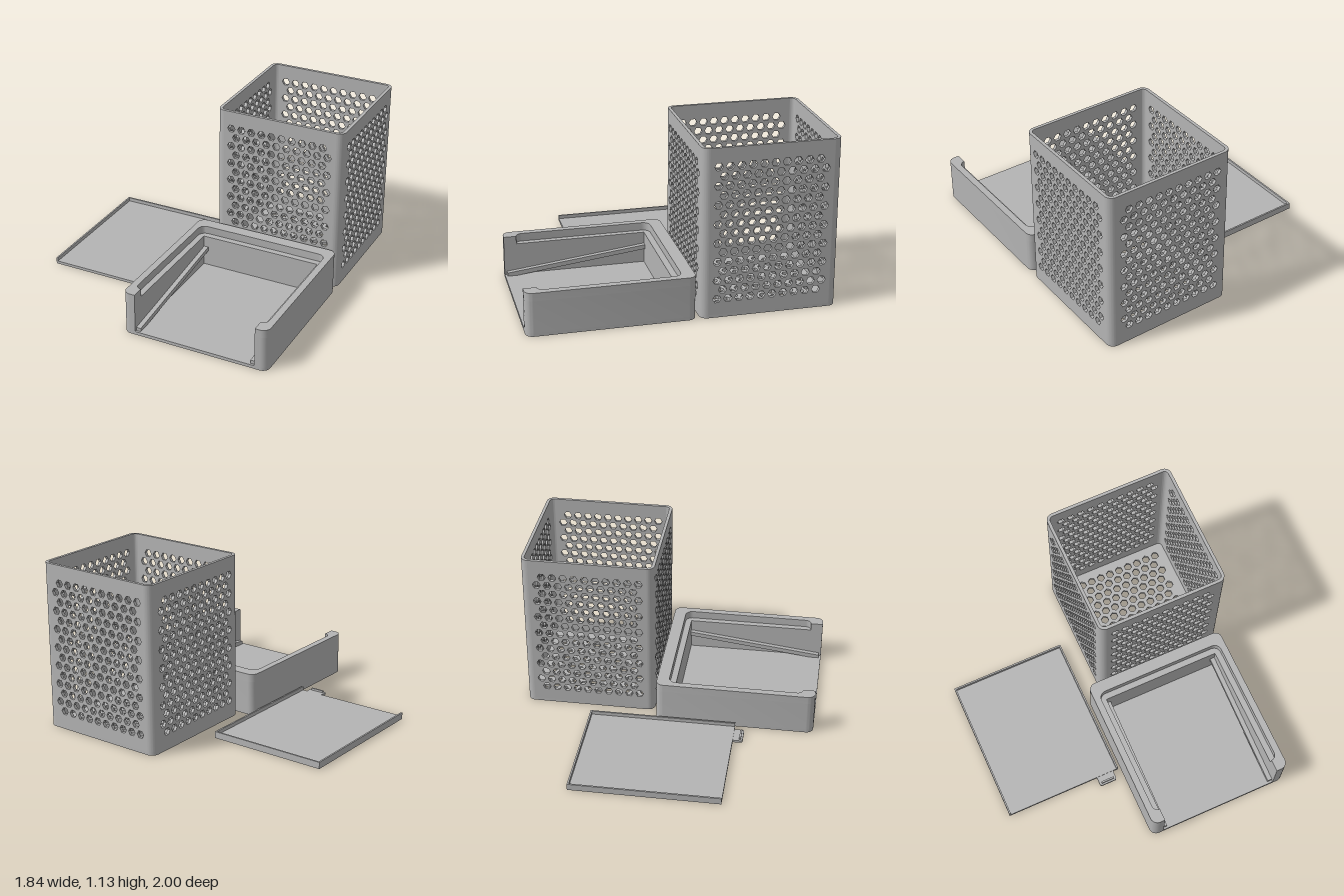
import * as THREE from 'three';
import { toCreasedNormals } from 'three/addons/utils/BufferGeometryUtils.js';

const grey = new THREE.MeshStandardMaterial({ color: 0xb4b4b4 });
grey.name = 'grey plastic';

function mesh(name, geometry, parent) {
  const m = new THREE.Mesh(toCreasedNormals(geometry, 0.5), grey);
  m.name = name;
  parent.add(m);
  return m;
}

// Plan outline from right-angled corners [x, z, radius]
function outline(corners) {
  const shape = new THREE.Shape();
  const n = corners.length;
  const pts = corners.map(([x, z]) => new THREE.Vector2(x, -z));
  corners.forEach(([, , r = 0], i) => {
    const p = pts[i];
    const toPrev = pts[(i + n - 1) % n].clone().sub(p).normalize();
    const toNext = pts[(i + 1) % n].clone().sub(p).normalize();
    const a = p.clone().addScaledVector(toPrev, r);
    const b = p.clone().addScaledVector(toNext, r);
    if (i === 0) shape.moveTo(a.x, a.y);
    else shape.lineTo(a.x, a.y);
    if (r > 0) {
      const c = a.clone().addScaledVector(toPrev, -r * 0.5523);
      const d = b.clone().addScaledVector(toNext, -r * 0.5523);
      shape.bezierCurveTo(c.x, c.y, d.x, d.y, b.x, b.y);
    }
  });
  shape.closePath();
  return shape;
}

const rect = (x0, x1, z0, z1, r = 0) =>
  outline([[x0, z1, r], [x1, z1, r], [x1, z0, r], [x0, z0, r]]);

// Horizontal slab from y0 to y1
function slab(shape, y0, y1) {
  const g = new THREE.ExtrudeGeometry(shape, { depth: y1 - y0, bevelEnabled: false, curveSegments: 8 });
  return g.rotateX(-Math.PI / 2).translate(0, y0, 0);
}

// Staggered rows of hexagonal holes, centred on (0, cy)
function addHexHoles(shape, rows, cy, turn) {
  const pitch = 0.0724, rowPitch = 0.0628, radius = 0.0275;
  for (let j = 0; j < rows; j++) {
    for (let i = 0; i < 10; i++) {
      const x = (i - 4.5) * pitch + (j % 2 ? 1 : -1) * pitch / 4;
      const y = cy + (j - (rows - 1) / 2) * rowPitch;
      const hex = [];
      for (let k = 0; k < 6; k++) {
        const a = turn - k * Math.PI / 3;
        hex.push(new THREE.Vector2(x + radius * Math.cos(a), y + radius * Math.sin(a)));
      }
      shape.holes.push(new THREE.Path(hex));
    }
  }
}

function createBasket() {
  const basket = new THREE.Group();
  basket.name = 'perforated basket';
  const half = 0.448, r = 0.05, t = 0.021, height = 1.128, flat = half - r;

  const floor = rect(-half, half, -half, half, r);
  addHexHoles(floor, 12, 0, Math.PI / 6);
  mesh('basket floor', slab(floor, 0, t), basket);

  // Flat walls
  const panel = new THREE.Shape([
    new THREE.Vector2(-flat, t), new THREE.Vector2(flat, t),
    new THREE.Vector2(flat, height), new THREE.Vector2(-flat, height),
  ]);
  addHexHoles(panel, 15, 0.566, 0);
  const wall = new THREE.ExtrudeGeometry(panel, { depth: t, bevelEnabled: false });
  for (const z of [-half, half - t]) {
    mesh(z < 0 ? 'back wall' : 'front wall', wall.clone().translate(0, 0, z), basket);
    mesh(z < 0 ? 'right wall' : 'left wall',
      wall.clone().translate(0, 0, z).rotateY(Math.PI / 2), basket);
  }

  // Rounded corner posts
  const arc = new THREE.Shape();
  arc.absarc(0, 0, r, 0, Math.PI / 2, false);
  arc.absarc(0, 0, r - t, Math.PI / 2, 0, true);
  arc.closePath();
  for (let i = 0; i < 4; i++) {
    const corner = slab(arc, t, height).translate(flat, 0, -flat).rotateY(i * Math.PI / 2);
    mesh('basket corner', corner, basket);
  }
  basket.position.set(0.47, 0, -0.552);
  return basket;
}

function createBase() {
  const base = new THREE.Group();
  base.name = 'open base';
  const x0 = -0.085, x1 = 0.918, z0 = -0.08, z1 = 1, r = 0.05;
  const in0 = 0, in1 = 0.833, floorY = 0.022, ledgeY = 0.237, top = 0.291;

  mesh('base floor', slab(rect(x0, x1, z0, z1, r), 0, floorY), base);

  // Lower walls, open at the front
  const outer = [[in1, z1], [x1, z1, r], [x1, z0, r], [x0, z0, r], [x0, z1, r], [in0, z1]];
  mesh('base walls', slab(outline([...outer, [in0, 0.045], [in1, 0.045]]), floorY, ledgeY), base);

  // Upper rim with a wider seat for the basket
  const s0 = -0.04, s1 = 0.873, sb = 0.003, sf = 0.916;
  mesh('base rim', slab(outline([...outer,
    [in0, sf], [s0, sf, 0.039], [s0, sb, 0.05],
    [s1, sb, 0.05], [s1, sf, 0.039], [in1, sf]]), ledgeY, top), base);

  // Sloping rails along both side walls
  const side = new THREE.Shape([[0.985, floorY], [0.985, 0.045], [0.045, 0.158], [0.045, 0.128], [0.92, floorY]]
    .map(([z, y]) => new THREE.Vector2(-z, y)));
  const rail = new THREE.ExtrudeGeometry(side, { depth: 0.032, bevelEnabled: false }).rotateY(Math.PI / 2);
  mesh('right rail', rail.clone().translate(in0, 0, 0), base);
  mesh('left rail', rail.clone().translate(in1 - 0.032, 0, 0), base);
  return base;
}

function createTray() {
  const tray = new THREE.Group();
  tray.name = 'drip tray';
  const x0 = -0.922, x1 = -0.105, z0 = -0.53, z1 = 0.472, w = 0.011;
  mesh('tray floor', slab(rect(x0, x1, z0, z1), 0, 0.02), tray);
  // Rim on three sides
  mesh('tray rim', slab(outline([
    [x0, z1], [x0 + w, z1], [x0 + w, z0 + w], [x1 - w, z0 + w],
    [x1 - w, z1], [x1, z1], [x1, z0], [x0, z0]]), 0.02, 0.045), tray);
  // Pull tab with a raised grip
  mesh('pull tab', slab(outline([
    [-0.265, z1], [-0.265, 0.538, 0.015], [-0.142, 0.538, 0.015], [-0.142, z1]]), 0, 0.016), tray);
  mesh('tab grip', slab(rect(-0.25, -0.157, 0.514, 0.526), 0.016, 0.03), tray);
  return tray;
}

export function createModel() {
  const model = new THREE.Group();
  model.name = 'basket with base and tray';
  model.add(createBasket(), createBase(), createTray());
  return model;
}
